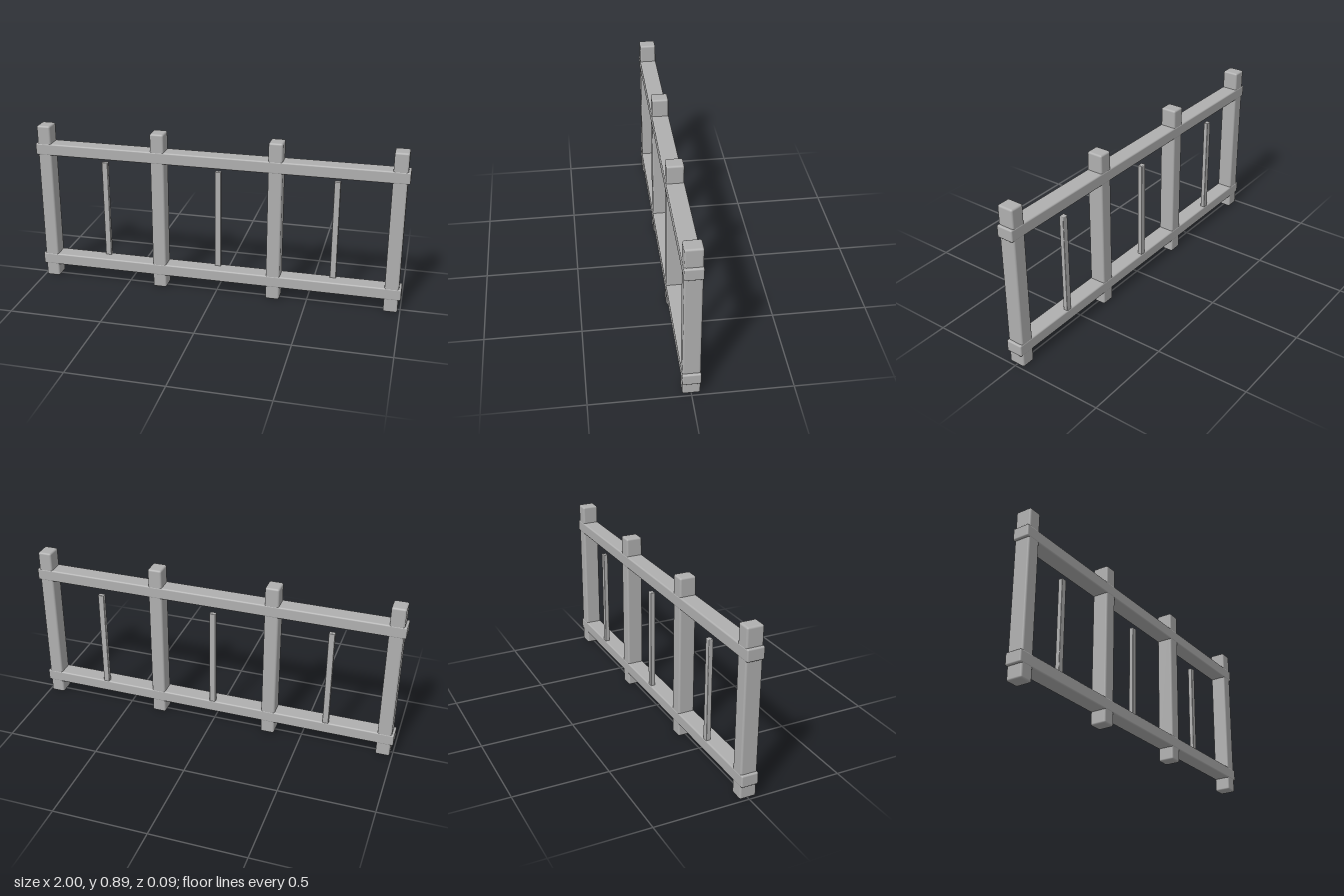
import * as THREE from 'three';
import { RoundedBoxGeometry } from 'three/addons/geometries/RoundedBoxGeometry.js';

export function createModel() {
  const fence = new THREE.Group();
  fence.name = 'fence';
  const grey = new THREE.MeshStandardMaterial({ color: 0xb0b0b0 });
  grey.name = 'grey';

  // Bar with softened edges, standing between two heights
  function bar(name, width, bottom, top, depth, x, z, bevel) {
    const geometry = new RoundedBoxGeometry(width, top - bottom, depth, 2, bevel);
    const mesh = new THREE.Mesh(geometry, grey);
    mesh.name = name;
    mesh.position.set(x, (bottom + top) / 2, z);
    fence.add(mesh);
  }

  // Four posts, evenly spaced
  const spacing = 0.633;
  for (let i = 0; i < 4; i++) {
    bar('post' + (i + 1), 0.075, 0, 0.886, 0.088, (i - 1.5) * spacing, 0, 0.01);
  }

  // Two long rails
  bar('lowerRail', 2, 0.072, 0.137, 0.091, 0, 0, 0.008);
  bar('upperRail', 2, 0.722, 0.787, 0.091, 0, 0, 0.008);

  // Thin uprights near the back edge, one in each bay
  for (let i = 0; i < 3; i++) {
    bar('baluster' + (i + 1), 0.033, 0.09, 0.684, 0.025, (i - 1) * spacing, -0.03, 0.004);
  }

  return fence;
}
